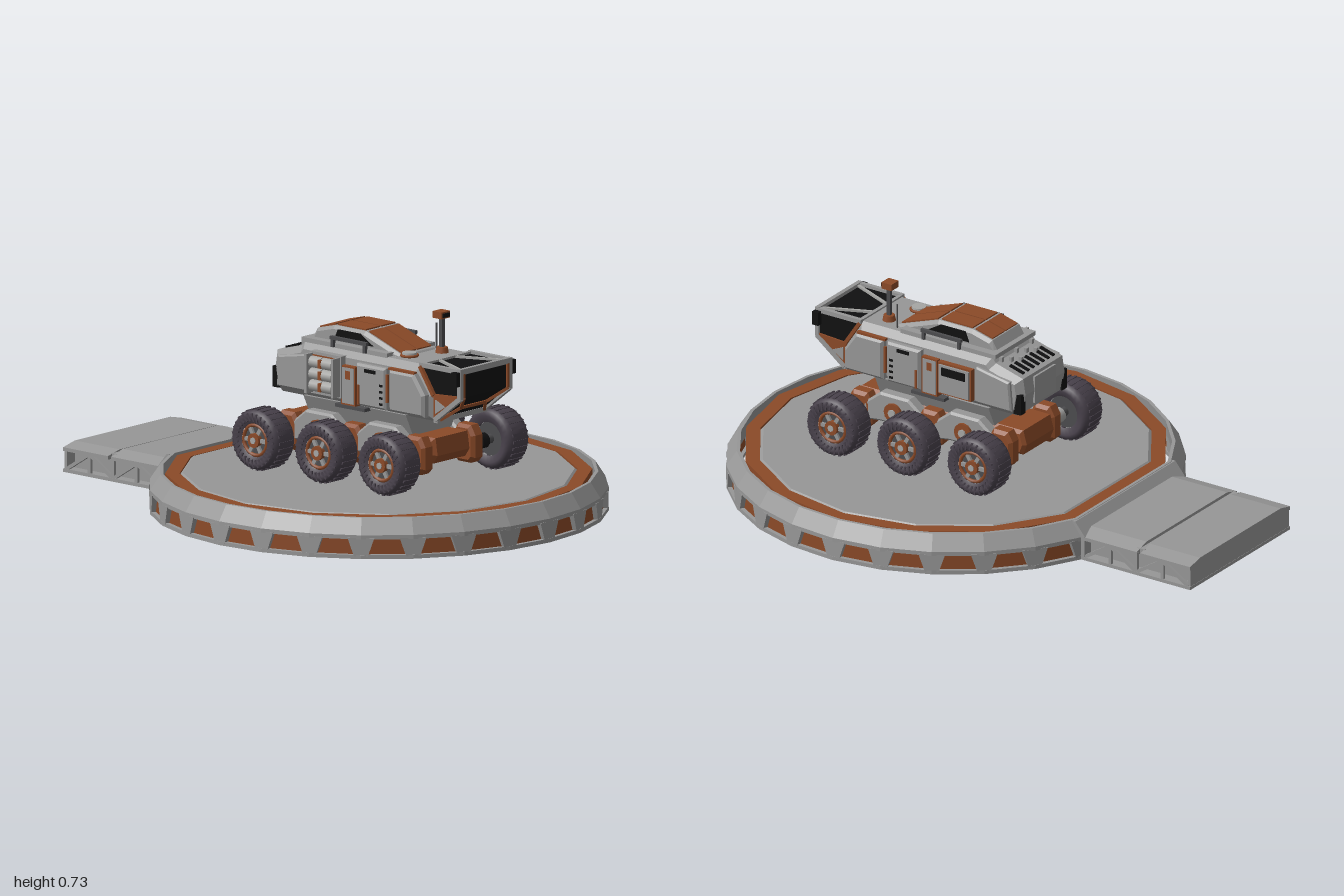
import * as THREE from 'three';

const mat = (name, color) => {
  const m = new THREE.MeshStandardMaterial({ color });
  m.name = name;
  return m;
};
const grey = mat('grey metal', 0x979797);
const light = mat('light grey', 0xa6a6a4);
const dark = mat('dark grey', 0x4c4c4e);
const rust = mat('rust orange', 0x8b4a28);
const black = mat('black glass', 0x101011);
const tyreMat = mat('tyre rubber', 0x48414b);

function add(parent, name, geo, material, x = 0, y = 0, z = 0) {
  const m = new THREE.Mesh(geo, material);
  m.name = name;
  m.position.set(x, y, z);
  parent.add(m);
  return m;
}
const box = (p, name, m, w, h, d, x, y, z) => add(p, name, new THREE.BoxGeometry(w, h, d), m, x, y, z);

// cylinder lying along z
function drum(p, name, m, r, len, x, y, z, sides = 16) {
  return add(p, name, new THREE.CylinderGeometry(r, r, len, sides).rotateX(Math.PI / 2), m, x, y, z);
}

// square bar between two points
function beam(p, name, m, a, b, t, t2 = t) {
  const A = new THREE.Vector3(...a), B = new THREE.Vector3(...b);
  const mesh = new THREE.Mesh(new THREE.BoxGeometry(t2, t, A.distanceTo(B)), m);
  mesh.name = name;
  mesh.position.copy(A).add(B).multiplyScalar(0.5);
  mesh.lookAt(B);
  p.add(mesh);
  return mesh;
}

// side outline in x-y, extruded symmetrically about z with a chamfer
function slab(p, name, m, pts, width, bevel = 0, z = 0) {
  const shape = new THREE.Shape(pts.map(q => new THREE.Vector2(...q)));
  const geo = new THREE.ExtrudeGeometry(shape, {
    depth: width - 2 * bevel, bevelEnabled: bevel > 0, bevelSize: bevel,
    bevelOffset: -bevel, bevelThickness: bevel, bevelSegments: 1,
  });
  geo.translate(0, 0, -width / 2 + bevel);
  return add(p, name, geo, m, 0, 0, z);
}

// closed profile (radius, y) swept round the pad, closing with one flat side at -x
const CX = 0.2, ARC = Math.PI - 0.39;
function padRing(p, name, m, profile, n) {
  const pos = [];
  const at = (i, j) => {
    const a = -ARC + (2 * ARC * (i % (n + 1))) / n;
    const [r, y] = profile[j % profile.length];
    return [CX + r * Math.cos(a), y, r * Math.sin(a)];
  };
  for (let i = 0; i <= n; i++) for (let j = 0; j < profile.length; j++) {
    const A = at(i, j), B = at(i, j + 1), C = at(i + 1, j + 1), D = at(i + 1, j);
    pos.push(...A, ...B, ...C, ...A, ...C, ...D);
  }
  const geo = new THREE.BufferGeometry();
  geo.setAttribute('position', new THREE.Float32BufferAttribute(pos, 3));
  geo.computeVertexNormals();
  return add(p, name, geo, m);
}

function buildPad() {
  const g = new THREE.Group();
  g.name = 'landingPad';
  const n = 24;
  padRing(g, 'padFloor', grey, [[0.7, 0.095], [0.7, 0.122], [0.685, 0.135], [0, 0.135], [0, 0.095]], 14);
  padRing(g, 'padTrimRing', rust, [[0.746, 0.112], [0.746, 0.133], [0.695, 0.133], [0.695, 0.112]], 14);
  padRing(g, 'rimUpper', grey, [[0.803, 0.07], [0.803, 0.085], [0.767, 0.14], [0.755, 0.14], [0.765, 0.07]], n);
  padRing(g, 'rimWall', rust, [[0.788, 0.005], [0.788, 0.08], [0.778, 0.08], [0.778, 0.005]], n);
  padRing(g, 'rimLower', grey, [[0.803, 0], [0.803, 0.014], [0.765, 0.014], [0.765, 0]], n);
  // tapered ribs leave trapezoid panels on both faces of the wall
  const rib = new THREE.ExtrudeGeometry(new THREE.Shape([[-0.024, 0.008], [0.024, 0.008], [0.047, 0.075], [-0.047, 0.075]]
    .map(q => new THREE.Vector2(...q))), { depth: 0.034, bevelEnabled: false });
  for (let i = 0; i <= n; i++) {
    const a = -ARC + (2 * ARC * i) / n;
    const m = add(g, 'rimRib', rib, grey, CX + 0.767 * Math.cos(a), 0, 0.767 * Math.sin(a));
    m.rotation.y = Math.PI / 2 - a;
  }
  // straight threshold facing the ramp
  slab(g, 'threshold', grey, [[-0.555, 0], [-0.53, 0], [-0.503, 0.138], [-0.515, 0.138], [-0.555, 0.09]], 0.62);
  return g;
}

function buildRamp() {
  const g = new THREE.Group();
  g.name = 'ramp';
  // chamfered deck plates
  for (const [x0, x1, h] of [[-1, -0.79, 0.102], [-0.775, -0.54, 0.106]]) {
    const deck = slab(g, 'rampDeck', grey, [[-0.31, 0.075], [0.31, 0.075], [0.31, 0.088], [0.25, h], [-0.25, h], [-0.31, 0.088]], x1 - x0);
    deck.rotation.y = Math.PI / 2;
    deck.position.x = (x0 + x1) / 2;
  }
  box(g, 'rampHinge', grey, 0.03, 0.02, 0.58, -0.78, 0.085, 0);
  box(g, 'rampBase', grey, 0.46, 0.012, 0.62, -0.77, 0.006, 0);
  box(g, 'rampCore', grey, 0.44, 0.07, 0.54, -0.76, 0.045, 0);
  box(g, 'rampEnd', grey, 0.012, 0.08, 0.61, -0.993, 0.045, 0);
  for (const z of [-0.303, 0.303]) for (let i = 0; i < 4; i++) {
    const x = -0.99 + i * 0.11, up = i % 2;
    beam(g, 'rampBrace', grey, [x, up ? 0.08 : 0.01, z], [x + 0.11, up ? 0.01 : 0.08, z], 0.012);
    box(g, 'rampPost', grey, 0.012, 0.08, 0.012, x + 0.11, 0.045, z);
  }
  return g;
}

function buildWheel(x, s) {
  const g = new THREE.Group();
  g.name = 'wheel';
  const prof = [[0.06, -0.045], [0.084, -0.057], [0.1, -0.05], [0.107, -0.03], [0.109, 0], [0.107, 0.03], [0.1, 0.05], [0.084, 0.057], [0.06, 0.045]];
  const geo = new THREE.LatheGeometry(prof.map(q => new THREE.Vector2(...q)), 28).rotateX(Math.PI / 2);
  add(g, 'tyre', geo, tyreMat);
  for (let i = 0; i < 28; i++) {
    const a = (i / 28) * Math.PI * 2;
    const lug = box(g, 'treadLug', tyreMat, 0.006, 0.01, 0.07, Math.cos(a) * 0.107, Math.sin(a) * 0.107, 0);
    lug.rotation.z = a;
    const side = box(g, 'sideLug', tyreMat, 0.03, 0.006, 0.008, Math.cos(a) * 0.083, Math.sin(a) * 0.083, s * 0.053);
    side.rotation.z = a + 0.4;
  }
  drum(g, 'rim', dark, 0.061, 0.07, 0, 0, 0, 24);
  add(g, 'rimRing', new THREE.TorusGeometry(0.054, 0.007, 6, 24), rust, 0, 0, s * 0.04);
  for (let i = 0; i < 6; i++) {
    const a = (i / 6) * Math.PI * 2;
    const sp = box(g, 'spoke', grey, 0.05, 0.014, 0.01, Math.cos(a) * 0.03, Math.sin(a) * 0.03, s * 0.039);
    sp.rotation.z = a;
  }
  drum(g, 'hub', rust, 0.026, 0.02, 0, 0, s * 0.043, 12);
  drum(g, 'hubCap', light, 0.012, 0.012, 0, 0, s * 0.05, 8);
  g.position.set(x, 0.25, s * 0.281);
  return g;
}

function buildSuspension() {
  const g = new THREE.Group();
  g.name = 'suspension';
  const wheelX = [-0.1, 0.197, 0.492];
  slab(g, 'chassisBox', rust, [[-0.15, 0.22], [0.52, 0.22], [0.54, 0.25], [0.53, 0.312], [-0.15, 0.312], [-0.165, 0.26]], 0.19, 0.012);
  for (const s of [-1, 1]) {
    wheelX.forEach((x, i) => {
      g.add(buildWheel(x, s));
      drum(g, 'axle', dark, 0.017, 0.13, x, 0.25, s * 0.2, 10);
      // steering knuckles at the front, plain collars behind
      drum(g, 'axleCollar', i === 2 ? black : light, 0.028, 0.034, x, 0.25, s * 0.197, 10);
      slab(g, 'axlePod', rust, [[x - 0.05, 0.21], [x - 0.03, 0.19], [x + 0.03, 0.19], [x + 0.05, 0.21], [x + 0.05, 0.29], [x + 0.03, 0.325], [x - 0.03, 0.325], [x - 0.05, 0.29]], 0.06, 0.012, s * 0.13);
    });
    // arched rocker arms with pivots
    for (const x of [0.0485, 0.3445]) {
      slab(g, 'rockerArm', grey, [[x - 0.14, 0.225], [x - 0.06, 0.235], [x + 0.06, 0.235], [x + 0.14, 0.225], [x + 0.13, 0.29], [x + 0.06, 0.345], [x - 0.06, 0.345], [x - 0.13, 0.29]], 0.05, 0.008, s * 0.135);
      drum(g, 'pivot', rust, 0.036, 0.03, x, 0.283, s * 0.155, 12);
      drum(g, 'pivotBolt', light, 0.015, 0.01, x, 0.283, s * 0.172, 8);
    }
  }
  return g;
}

function buildBody() {
  const g = new THREE.Group();
  g.name = 'body';
  slab(g, 'hull', grey, [[-0.15, 0.385], [0.57, 0.385], [0.57, 0.48], [0.505, 0.58], [-0.045, 0.58], [-0.06, 0.562], [-0.175, 0.53], [-0.185, 0.47], [-0.172, 0.4]], 0.29, 0.024);
  const belly = slab(g, 'belly', grey, [[-0.1, 0.31], [0.1, 0.31], [0.138, 0.39], [-0.138, 0.39]], 0.48);
  belly.rotation.y = Math.PI / 2;
  belly.position.x = 0.2;

  // cockpit nose with frame bars
  slab(g, 'cockpitGlass', black, [[0.49, 0.395], [0.575, 0.395], [0.686, 0.485], [0.686, 0.577], [0.49, 0.577]], 0.256, 0.008);
  for (const s of [-1, 1]) {
    const z = s * 0.128;
    beam(g, 'nosePost', grey, [0.686, 0.48, z], [0.686, 0.588, z], 0.016);
    beam(g, 'postTrim', rust, [0.69, 0.485, s * 0.115], [0.69, 0.572, s * 0.115], 0.009);
    beam(g, 'noseRoofRail', grey, [0.5, 0.58, z], [0.69, 0.58, z], 0.016);
    beam(g, 'noseSill', rust, [0.56, 0.478, z], [0.69, 0.486, z], 0.013);
    beam(g, 'noseSlope', grey, [0.57, 0.392, z], [0.688, 0.484, z], 0.017);
    beam(g, 'windowEdge', rust, [0.505, 0.575, s * 0.135], [0.568, 0.48, s * 0.135], 0.013);
    slab(g, 'nosePanel', rust, [[0.565, 0.4], [0.585, 0.405], [0.672, 0.478], [0.565, 0.472]], 0.008, 0, z);
    slab(g, 'nosePlate', grey, [[0.575, 0.415], [0.62, 0.445], [0.575, 0.465]], 0.009, 0, s * 0.131);
    beam(g, 'frontBrace', rust, [0.692, 0.485, s * 0.115], [0.632, 0.434, s * 0.065], 0.01);
    beam(g, 'frontBrace', rust, [0.632, 0.434, s * 0.065], [0.58, 0.39, s * 0.115], 0.01);
    beam(g, 'roofBrace', light, [0.51, 0.58, s * 0.04], [0.685, 0.58, s * 0.115], 0.01);
    box(g, 'noseLamp', black, 0.026, 0.05, 0.02, 0.68, 0.555, s * 0.145);
  }
  beam(g, 'frontBrace', rust, [0.632, 0.434, -0.065], [0.632, 0.434, 0.065], 0.01);
  box(g, 'noseBrow', grey, 0.016, 0.02, 0.27, 0.686, 0.58, 0);
  box(g, 'noseBumper', grey, 0.02, 0.018, 0.26, 0.572, 0.39, 0);
  box(g, 'browTrim', grey, 0.014, 0.008, 0.24, 0.508, 0.582, 0);

  // roof blister with rust panels
  const top = [[-0.05, 0.575], [-0.02, 0.625], [0.06, 0.646], [0.205, 0.646], [0.375, 0.586], [0.385, 0.575]];
  slab(g, 'roofBlister', grey, top, 0.19, 0.012);
  for (let i = 1; i < 4; i++) for (const z of [-0.04, 0.04]) {
    const [ax, ay] = top[i], [bx, by] = top[i + 1], k = 0.05;
    beam(g, 'roofPanel', rust, [ax + (bx - ax) * k, ay + (by - ay) * k + 0.001, z], [bx - (bx - ax) * k, by - (by - ay) * k + 0.001, z], 0.008, 0.074);
  }
  box(g, 'roofDeck', grey, 0.4, 0.016, 0.25, 0.14, 0.585, 0);
  for (const s of [-1, 1]) {
    slab(g, 'blisterWindow', black, [[0.07, 0.6], [0.085, 0.636], [0.19, 0.636], [0.25, 0.6]], 0.006, 0, s * 0.096);
    for (const x of [0.09, 0.24]) box(g, 'railPost', dark, 0.012, 0.03, 0.012, x, 0.595, s * 0.128);
    box(g, 'roofRail', dark, 0.17, 0.012, 0.012, 0.165, 0.613, s * 0.128);
  }

  // rear roof vents and rear door
  for (let i = 0; i < 7; i++) {
    const v = box(g, 'roofVent', black, 0.06, 0.008, 0.011, -0.13, 0.545, (i - 3) * 0.031);
    v.rotation.z = 0.285;
    box(g, 'ventFin', grey, 0.012, 0.018, 0.013, -0.065 - 0.02 * (i % 3), 0.568 - 0.006 * (i % 3), (i - 3) * 0.031);
  }
  box(g, 'rearDoor', grey, 0.008, 0.1, 0.13, -0.182, 0.47, 0);
  for (const s of [-1, 1]) box(g, 'rearLamp', black, 0.03, 0.075, 0.03, -0.165, 0.437, s * 0.128);

  // roof hatch, mast and aerial
  add(g, 'hatch', new THREE.CylinderGeometry(0.026, 0.028, 0.02, 16), light, 0.39, 0.586, 0.063);
  add(g, 'hatchRing', new THREE.TorusGeometry(0.029, 0.005, 6, 16).rotateX(Math.PI / 2), rust, 0.39, 0.585, 0.063);
  add(g, 'mastBase', new THREE.CylinderGeometry(0.02, 0.025, 0.025, 10), rust, 0.43, 0.588, -0.062);
  beam(g, 'mast', dark, [0.43, 0.59, -0.062], [0.43, 0.71, -0.062], 0.014);
  box(g, 'mastHead', rust, 0.042, 0.024, 0.045, 0.427, 0.716, -0.062);
  box(g, 'mastLens', black, 0.006, 0.014, 0.034, 0.45, 0.716, -0.062);
  beam(g, 'aerial', dark, [0.37, 0.58, -0.1], [0.37, 0.67, -0.1], 0.004);
  return g;
}

function buildSides() {
  const g = new THREE.Group();
  g.name = 'sideEquipment';
  for (const s of [-1, 1]) {
    const z = s * 0.148;
    // raised armour panels, door and trim
    slab(g, 'sidePanel', grey, [[0.23, 0.4], [0.37, 0.4], [0.37, 0.55], [0.23, 0.55]], 0.04, 0.008, s * 0.148);
    slab(g, 'frontPanel', grey, [[0.385, 0.4], [0.55, 0.4], [0.55, 0.48], [0.5, 0.55], [0.385, 0.55]], 0.04, 0.01, s * 0.15);
    slab(g, 'rearPanel', grey, [[-0.15, 0.41], [0.0, 0.41], [0.0, 0.545], [-0.14, 0.52]], 0.03, 0.006, s * 0.145);
    box(g, 'doorFrame', rust, 0.066, 0.14, 0.03, 0.192, 0.462, z);
    box(g, 'door', grey, 0.054, 0.128, 0.034, 0.192, 0.462, z);
    box(g, 'doorPanel', rust, 0.022, 0.03, 0.036, 0.192, 0.5, z);
    box(g, 'frontPanelTrim', rust, 0.12, 0.008, 0.016, 0.44, 0.552, s * 0.155);
    box(g, 'panelStrip', rust, 0.008, 0.1, 0.008, 0.377, 0.48, s * 0.165);
    box(g, 'panelStrip', rust, 0.008, 0.07, 0.008, 0.245, 0.44, s * 0.167);
    for (let i = 0; i < 4; i++) box(g, 'sideSlot', black, 0.014, 0.008, 0.006, 0.35, 0.42 + i * 0.022, s * 0.168);
    box(g, 'sideHandle', black, 0.05, 0.012, 0.008, 0.3, 0.53, s * 0.168);
    box(g, 'step', dark, 0.14, 0.012, 0.03, 0.2, 0.385, z);
  }
  // stacked canisters in a rack
  box(g, 'canisterRack', grey, 0.146, 0.15, 0.03, 0.09, 0.487, 0.152);
  box(g, 'rackLiner', rust, 0.13, 0.13, 0.008, 0.09, 0.487, 0.166);
  for (let i = 0; i < 3; i++) for (const x of [0.062, 0.116]) {
    const c = drum(g, 'canister', light, 0.021, 0.05, x, 0.445 + i * 0.042, 0.178, 12);
    c.rotation.y = Math.PI / 2;
  }
  for (const x of [0.026, 0.152]) box(g, 'rackPost', grey, 0.01, 0.14, 0.05, x, 0.487, 0.177);
  for (let i = 0; i < 3; i++) box(g, 'canisterStrap', rust, 0.012, 0.03, 0.046, 0.089, 0.445 + i * 0.042, 0.177);
  // opposite side window and locker
  box(g, 'lockerFrame', rust, 0.14, 0.12, 0.03, 0.085, 0.47, -0.15);
  box(g, 'locker', grey, 0.126, 0.106, 0.04, 0.085, 0.47, -0.152);
  box(g, 'lockerWindow', black, 0.1, 0.03, 0.006, 0.085, 0.5, -0.172);
  return g;
}

export function createModel() {
  const model = new THREE.Group();
  model.name = 'roverOnPad';
  const rover = new THREE.Group();
  rover.name = 'rover';
  rover.add(buildSuspension(), buildBody(), buildSides());
  rover.position.z = -0.012;
  model.add(buildPad(), buildRamp(), rover);
  return model;
}
